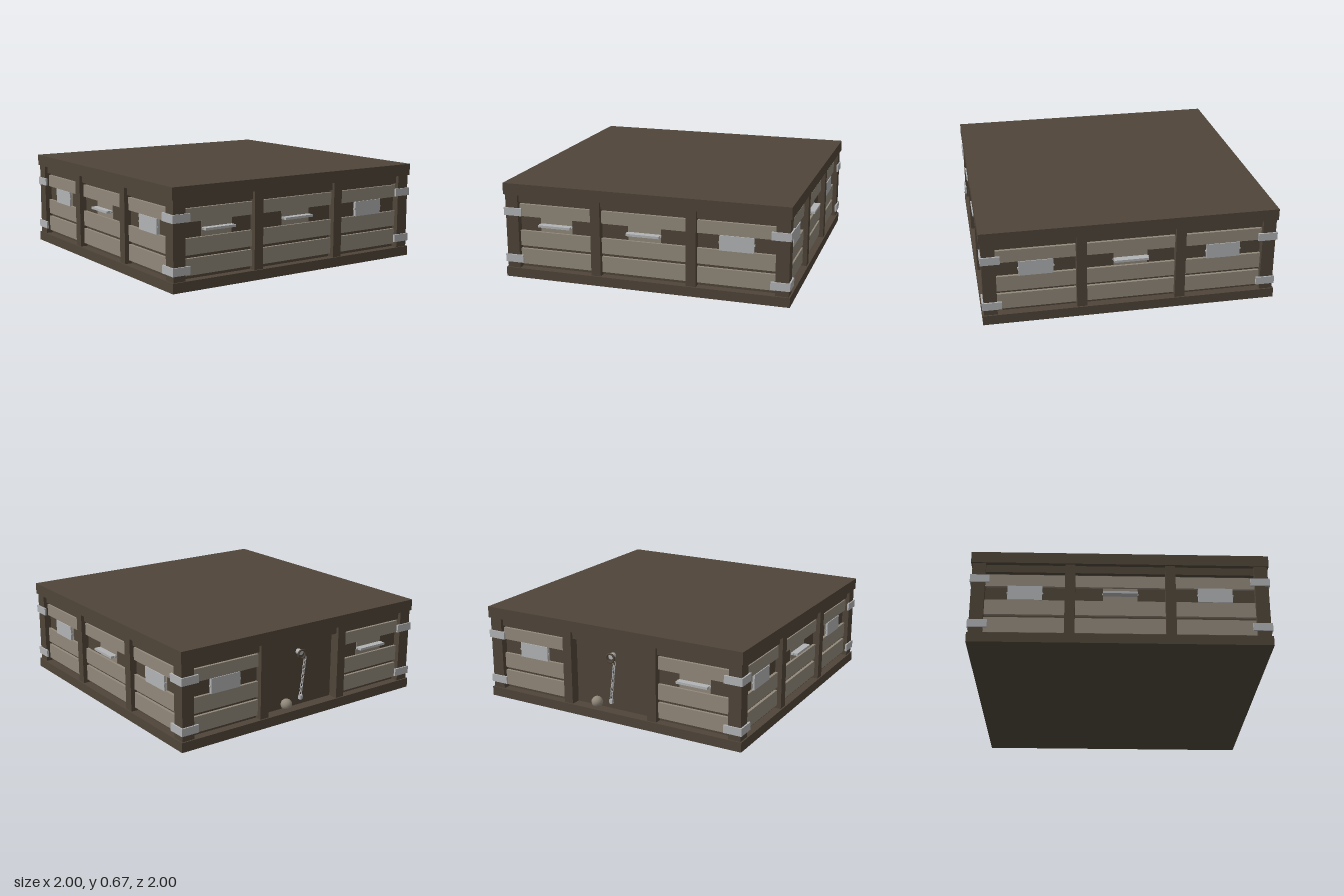
import * as THREE from 'three';

const material = (name, color) => {
  const m = new THREE.MeshStandardMaterial({ color });
  m.name = name;
  return m;
};

export function createModel() {
  const darkWood = material('darkWood', 0x4f4539);
  const paleWood = material('paleWood', 0x91887a);
  const metal = material('metal', 0xb2b3b5);

  const add = (parent, name, geometry, mat, x, y, z) => {
    const mesh = new THREE.Mesh(geometry, mat);
    mesh.name = name;
    mesh.position.set(x, y, z);
    parent.add(mesh);
    return mesh;
  };
  // Box given by its lower and upper limits
  const box = (parent, name, mat, [x0, x1], [y0, y1], [z0, z1]) =>
    add(parent, name, new THREE.BoxGeometry(x1 - x0, y1 - y0, z1 - z0), mat,
      (x0 + x1) / 2, (y0 + y1) / 2, (z0 + z1) / 2);

  const model = new THREE.Group();
  model.name = 'crate';

  // Lid, base and inner body
  box(model, 'lid', darkWood, [-1, 1], [0.59, 0.67], [-1, 1]);
  box(model, 'base', darkWood, [-1, 1], [0, 0.067], [-1, 1]);
  box(model, 'body', darkWood, [-0.92, 0.92], [0.067, 0.59], [-0.92, 0.92]);

  // Corner posts with wrapped metal straps
  for (const sx of [-1, 1]) for (const sz of [-1, 1]) {
    add(model, 'cornerPost', new THREE.BoxGeometry(0.09, 0.523, 0.09), darkWood, sx * 0.945, 0.3285, sz * 0.945);
    for (const y of [0.135, 0.47]) {
      add(model, 'cornerStrap', new THREE.BoxGeometry(0.13, 0.054, 0.014), metal, sx * 0.935, y, sz * 0.993);
      add(model, 'cornerStrap', new THREE.BoxGeometry(0.014, 0.054, 0.116), metal, sx * 0.993, y, sz * 0.928);
    }
  }

  // One bay of slats with a pivoting vent flap
  const addBay = (side, x0, x1, vent, closed) => {
    box(side, 'backBoard', darkWood, [x0, x1], [0.067, 0.535], [0.91, 0.94]);
    for (const range of [[0.09, 0.2], [0.222, 0.33], [0.433, 0.52]])
      box(side, 'slat', paleWood, [x0, x1], range, [0.92, 0.96]);
    box(side, 'ventPanel', paleWood, [vent - 0.115, vent + 0.115], [0.33, 0.433], [0.936, 0.944]);
    const flap = add(side, 'ventFlap', new THREE.BoxGeometry(0.23, 0.104, 0.016), metal, vent, 0.381, 0.958);
    if (!closed) {
      flap.rotation.x = Math.PI / 2;
      flap.position.z = 0.94;
    }
    box(side, 'flapPin', metal, [vent - 0.122, vent + 0.122], [0.375, 0.387], [0.951, 0.963]);
  };

  // Four sides; each bay is open (0), closed (1) or a doorway (null)
  const sides = [
    ['frontSide', 0, [0, 0, 1]],
    ['leftSide', Math.PI / 2, [1, 0, 1]],
    ['backSide', Math.PI, [1, null, 0]],
    ['rightSide', -Math.PI / 2, [1, 0, 1]],
  ];
  const bays = [[-0.9, -0.37, -0.635], [-0.3, 0.3, 0], [0.365, 0.9, 0.635]];
  for (const [name, angle, vents] of sides) {
    const side = new THREE.Group();
    side.name = name;
    side.rotation.y = angle;
    model.add(side);
    box(side, 'header', darkWood, [-0.9, 0.9], [0.535, 0.59], [0.91, 0.968]);
    for (const x of [-0.335, 0.335])
      box(side, 'divider', darkWood, [x - 0.034, x + 0.034], [0.067, 0.59], [0.91, 0.99]);
    bays.forEach(([x0, x1, vent], i) => {
      if (vents[i] !== null) addBay(side, x0, x1, vent, vents[i]);
    });
  }

  // Fastening in the doorway: ring, linked chain and resting ball
  const door = new THREE.Group();
  door.name = 'doorFastening';
  door.rotation.y = Math.PI;
  model.add(door);
  add(door, 'ringMount', new THREE.CylinderGeometry(0.02, 0.02, 0.04, 12), metal, 0, 0.455, 0.935).rotation.x = Math.PI / 2;
  add(door, 'ring', new THREE.TorusGeometry(0.03, 0.007, 8, 18), darkWood, 0, 0.445, 0.962);
  const links = 9;
  for (let i = 0; i < links; i++) {
    const t = i / (links - 1);
    const link = add(door, 'chainLink', new THREE.TorusGeometry(0.014, 0.004, 6, 10), metal,
      0.03 - 0.03 * t, 0.41 - 0.25 * t, 0.96);
    link.scale.set(0.7, 1.35, 1);
    link.rotation.y = i % 2 ? Math.PI / 2 : 0;
  }
  add(door, 'chainEnd', new THREE.BoxGeometry(0.022, 0.03, 0.022), metal, 0, 0.135, 0.96);
  add(door, 'ball', new THREE.SphereGeometry(0.04, 14, 10), paleWood, -0.12, 0.107, 0.955);

  return model;
}
